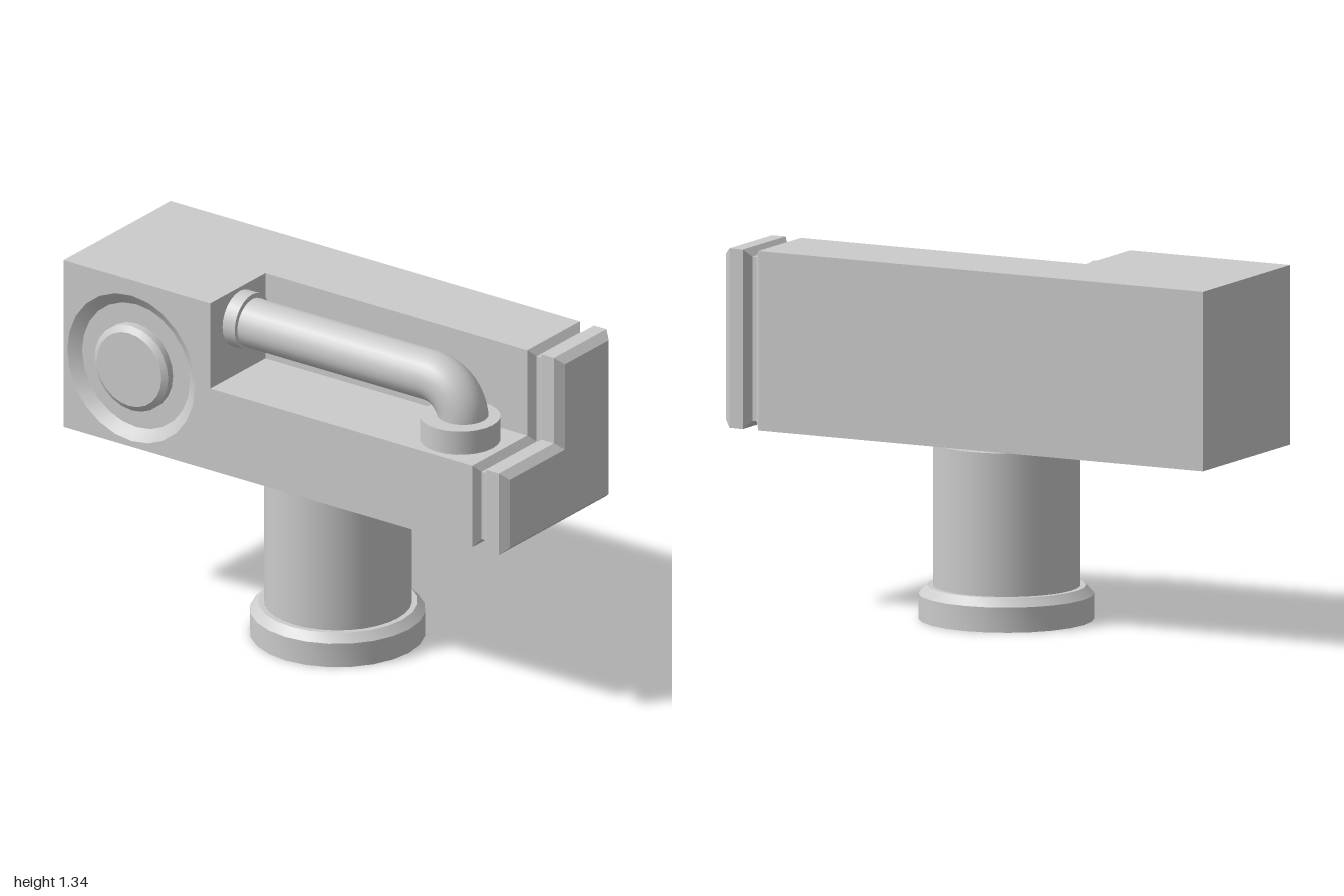
import * as THREE from 'three';
import { toCreasedNormals } from 'three/addons/utils/BufferGeometryUtils.js';

const material = new THREE.MeshStandardMaterial({ color: 0xcccccc });
const openMaterial = new THREE.MeshStandardMaterial({ color: 0xcccccc, side: THREE.DoubleSide });

// Turned part from [radius, height] pairs, with sharp rims
function turned(points, segments) {
  const profile = points.map(([r, y]) => new THREE.Vector2(r, y));
  return toCreasedNormals(new THREE.LatheGeometry(profile, segments), 0.5);
}

// L-shaped cross-section (z, y), shrunk inwards by d
function notchedSection(d) {
  return [
    [0.31 - d, 0.675 + d], [-0.355 + d, 0.675 + d], [-0.355 + d, 1.34 - d],
    [-0.03 - d, 1.34 - d], [-0.03 - d, 1 - d], [0.31 - d, 1 - d],
  ];
}

// Loft of the L section along x through [x, inset] stations, closed at the far end
function notchedLoft(stations) {
  const rings = stations.map(([x, d]) => notchedSection(d).map(([z, y]) => [x, y, z]));
  const positions = [];
  const tri = (a, b, c) => positions.push(...a, ...b, ...c);
  for (let s = 0; s < rings.length - 1; s++) {
    const a = rings[s], b = rings[s + 1];
    for (let i = 0; i < 6; i++) {
      const j = (i + 1) % 6;
      tri(a[i], a[j], b[j]);
      tri(a[i], b[j], b[i]);
    }
  }
  const end = rings[rings.length - 1];
  for (let k = 0; k < 4; k++) tri(end[4], end[(5 + k) % 6], end[(6 + k) % 6]);
  const geometry = new THREE.BufferGeometry();
  geometry.setAttribute('position', new THREE.Float32BufferAttribute(positions, 3));
  geometry.computeVertexNormals();
  return geometry;
}

export function createModel() {
  const model = new THREE.Group();
  model.name = 'hammer';

  function add(name, geometry, x = 0, y = 0, z = 0, mat = material) {
    const mesh = new THREE.Mesh(geometry, mat);
    mesh.name = name;
    mesh.position.set(x, y, z);
    model.add(mesh);
    return mesh;
  }

  // Handle and its chamfered pommel
  add('handle', new THREE.CylinderGeometry(0.27, 0.27, 0.655, 32), 0, 0.3275, -0.02);
  add('pommel', turned([[0, 0], [0.322, 0], [0.322, 0.093], [0.292, 0.124], [0, 0.124]], 24), 0, 0, -0.02);

  // Head: full block, then notched body with groove and chamfered striking end
  add('headBlock', new THREE.BoxGeometry(0.665, 0.665, 0.665), -0.6675, 1.0075, -0.0225);
  add('notchedHead', notchedLoft([
    [-0.335, 0], [0.85, 0], [0.872, 0.028], [0.89, 0.028], [0.914, 0], [0.97, 0], [1, 0.027],
  ]));

  // Round dial on the front: flared rim with a raised button
  const rim = add('dialRim', turned([[0.245, 0], [0.29, 0.03]], 24), -0.67, 1.005, 0.311, openMaterial);
  const button = add('dialButton', turned([[0, 0], [0.168, 0], [0.168, 0.03], [0.145, 0.046], [0, 0.046]], 24), -0.67, 1.005, 0.31);
  rim.rotation.x = button.rotation.x = Math.PI / 2;

  // Pipe lying in the notch, bending down into its socket
  const path = new THREE.CurvePath();
  const v = (x, y) => new THREE.Vector3(x, y, 0.125);
  path.add(new THREE.LineCurve3(v(-0.335, 1.213), v(0.53, 1.213)));
  path.add(new THREE.CubicBezierCurve3(v(0.53, 1.213), v(0.61, 1.213), v(0.675, 1.15), v(0.675, 1.07)));
  path.add(new THREE.LineCurve3(v(0.675, 1.07), v(0.675, 1.0)));
  add('pipe', new THREE.TubeGeometry(path, 64, 0.093, 24, false));
  const collar = add('pipeCollar', new THREE.CylinderGeometry(0.107, 0.107, 0.055, 24), -0.3075, 1.218, 0.127);
  collar.rotation.z = Math.PI / 2;
  add('pipeSocket', new THREE.CylinderGeometry(0.147, 0.147, 0.092, 24), 0.67, 1.046, 0.137);

  return model;
}
